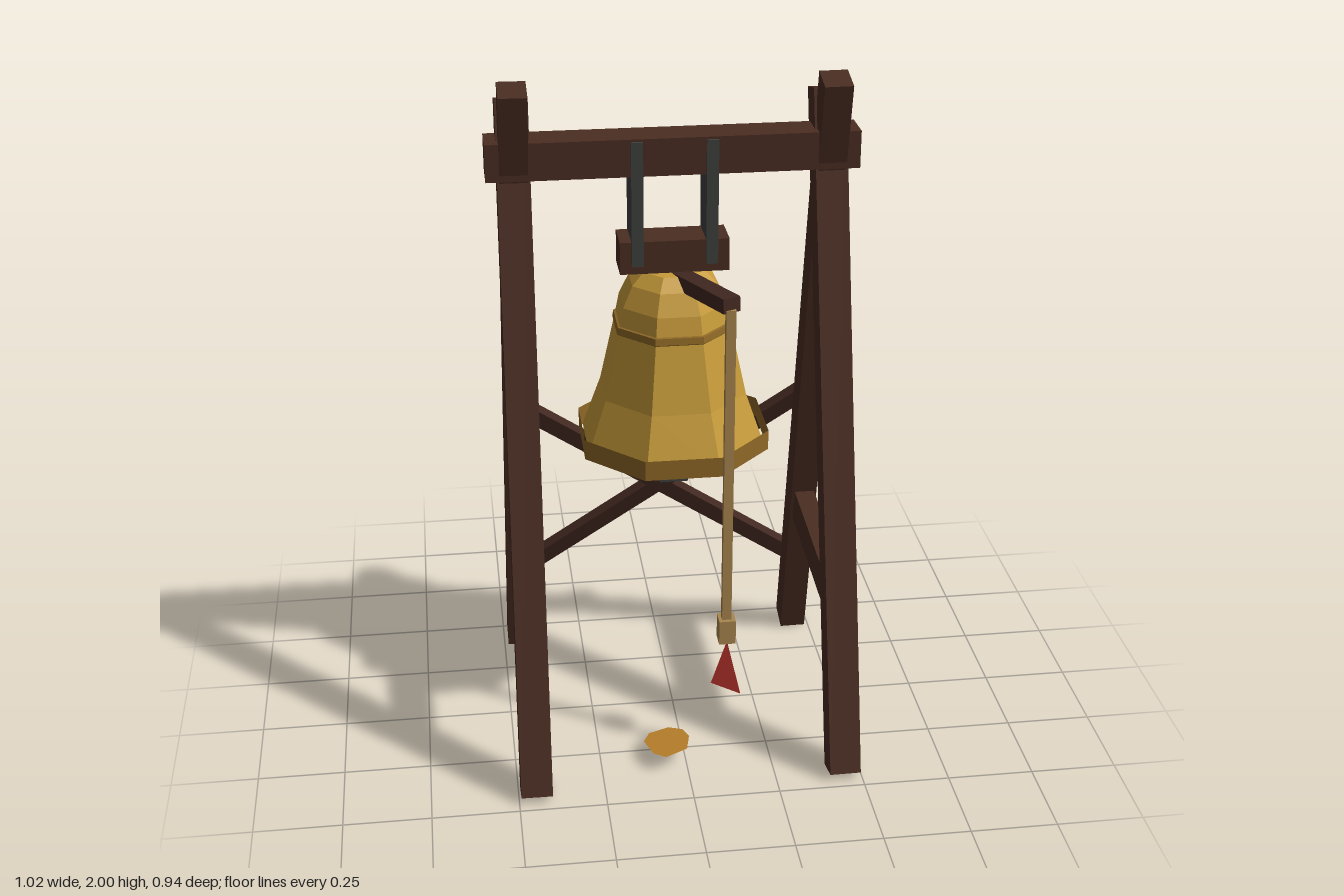
import * as THREE from 'three';

const mat = (name, color, side = THREE.FrontSide) => {
  const m = new THREE.MeshStandardMaterial({ color, side });
  m.name = name;
  return m;
};
const V = (x, y, z) => new THREE.Vector3(x, y, z);

export function createModel() {
  const wood = mat('wood', 0x4a2d22);
  const darkWood = mat('darkWood', 0x412820);
  const brass = mat('brass', 0xc79b3a, THREE.DoubleSide);
  const darkBrass = mat('darkBrass', 0x8f6826, THREE.DoubleSide);
  const shadowBrown = mat('bellInside', 0x2e1d15, THREE.DoubleSide);
  const iron = mat('iron', 0x3d403d);
  const rope = mat('rope', 0xa9864f);
  const red = mat('redCloth', 0xa82e28, THREE.DoubleSide);
  const leafMat = mat('leaf', 0xb9802a, THREE.DoubleSide);

  const model = new THREE.Group();
  model.name = 'bellFrame';
  const add = (name, geo, material, x = 0, y = 0, z = 0) => {
    const mesh = new THREE.Mesh(geo, material);
    mesh.name = name;
    mesh.position.set(x, y, z);
    model.add(mesh);
    return mesh;
  };
  const box = (name, material, w, h, d, x, y, z) =>
    add(name, new THREE.BoxGeometry(w, h, d), material, x, y, z);
  // Square timber from a to b; ref points along its depth direction
  const bar = (name, material, a, b, w, d, ref) => {
    const Y = b.clone().sub(a);
    const len = Y.length();
    Y.normalize();
    const X = Y.clone().cross(ref).normalize();
    const Z = X.clone().cross(Y);
    const mid = a.clone().add(b).multiplyScalar(0.5);
    const mesh = box(name, material, w, len, d, mid.x, mid.y, mid.z);
    mesh.quaternion.setFromRotationMatrix(new THREE.Matrix4().makeBasis(X, Y, Z));
  };
  // Faceted octagonal shell; points are [distance to flat, y]
  const octagon = (name, pts, material) => {
    const profile = pts.map(([r, y]) => new THREE.Vector2(r / Math.cos(Math.PI / 8), y));
    const geo = new THREE.LatheGeometry(profile, 8, Math.PI / 8).toNonIndexed();
    geo.computeVertexNormals();
    return add(name, geo, material);
  };

  // Two crossed-leg trestles
  const front = V(0, 0, 1);
  for (const s of [-1, 1]) {
    bar('frontLeg', wood, V(s * 0.449, 0.012, 0.428), V(s * 0.432, 1.93, -0.05), 0.09, 0.088, front);
    bar('backLeg', wood, V(s * 0.449, 0.012, -0.428), V(s * 0.432, 1.985, 0.068), 0.078, 0.088, front);
    bar('sideRail', wood, V(s * 0.445, 0.495, 0.31), V(s * 0.445, 0.53, -0.31), 0.06, 0.105, V(0, 1, 0));
    // Diagonal brace lying on the back of the rear legs
    bar('crossBrace', darkWood, V(s * 0.45, 0.258, -0.425), V(-s * 0.45, 0.928, -0.265),
      0.05, 0.038, V(0, 0.24, -0.97));
    box('hangerPlate', iron, 0.033, 0.355, 0.122, s * 0.103, 1.648, 0);
  }

  // Top beam and bell yoke
  box('topBeam', wood, 1.02, 0.105, 0.106, 0, 1.78, 0);
  box('yoke', wood, 0.304, 0.093, 0.11, 0, 1.494, 0);

  // Bell
  octagon('bellBody', [[0.252, 0.925], [0.2, 1.08], [0.158, 1.28], [0.145, 1.35],
    [0.118, 1.41], [0.085, 1.445], [0, 1.45]], brass);
  octagon('bellRim', [[0.263, 0.913], [0.263, 0.972]], darkBrass);
  octagon('bellBand', [[0.161, 1.273], [0.164, 1.276], [0.161, 1.295], [0.154, 1.297]], darkBrass);
  octagon('bellInside', [[0.236, 0.958], [0, 0.96]], shadowBrown);
  box('clapperRod', iron, 0.024, 0.12, 0.024, 0, 0.91, 0);
  box('clapper', iron, 0.082, 0.08, 0.082, 0, 0.829, 0);

  // Pull lever, rope and tassel
  bar('lever', darkWood, V(0.005, 1.425, 0.02), V(0.122, 1.443, 0.298), 0.052, 0.042, V(0, 1, 0));
  bar('rope', rope, V(0.12, 0.45, 0.285), V(0.12, 1.43, 0.295), 0.027, 0.022, front);
  box('ropeKnot', rope, 0.048, 0.075, 0.05, 0.121, 0.428, 0.283);
  const flag = new THREE.Shape([[0.121, 0.395], [0.075, 0.255], [0.163, 0.21]]
    .map(([x, y]) => new THREE.Vector2(x, y)));
  add('clothTassel', new THREE.ShapeGeometry(flag), red, 0, 0, 0.298);

  // Drifting leaf, slightly tilted
  const leaf = new THREE.Shape([[-0.12, 0.275], [-0.1, 0.235], [-0.04, 0.215], [0.0, 0.235],
    [0.015, 0.275], [0, 0.342], [-0.065, 0.373], [-0.1, 0.345]]
    .map(([x, z]) => new THREE.Vector2(x, -z)));
  const leafGeo = new THREE.ShapeGeometry(leaf).rotateX(-Math.PI / 2);
  const p = leafGeo.attributes.position;
  for (let i = 0; i < p.count; i++) {
    p.setY(i, 0.055 + (p.getX(i) + 0.05) * 0.06 + (p.getZ(i) - 0.29) * 0.05);
  }
  leafGeo.computeVertexNormals();
  add('leaf', leafGeo, leafMat);

  return model;
}
